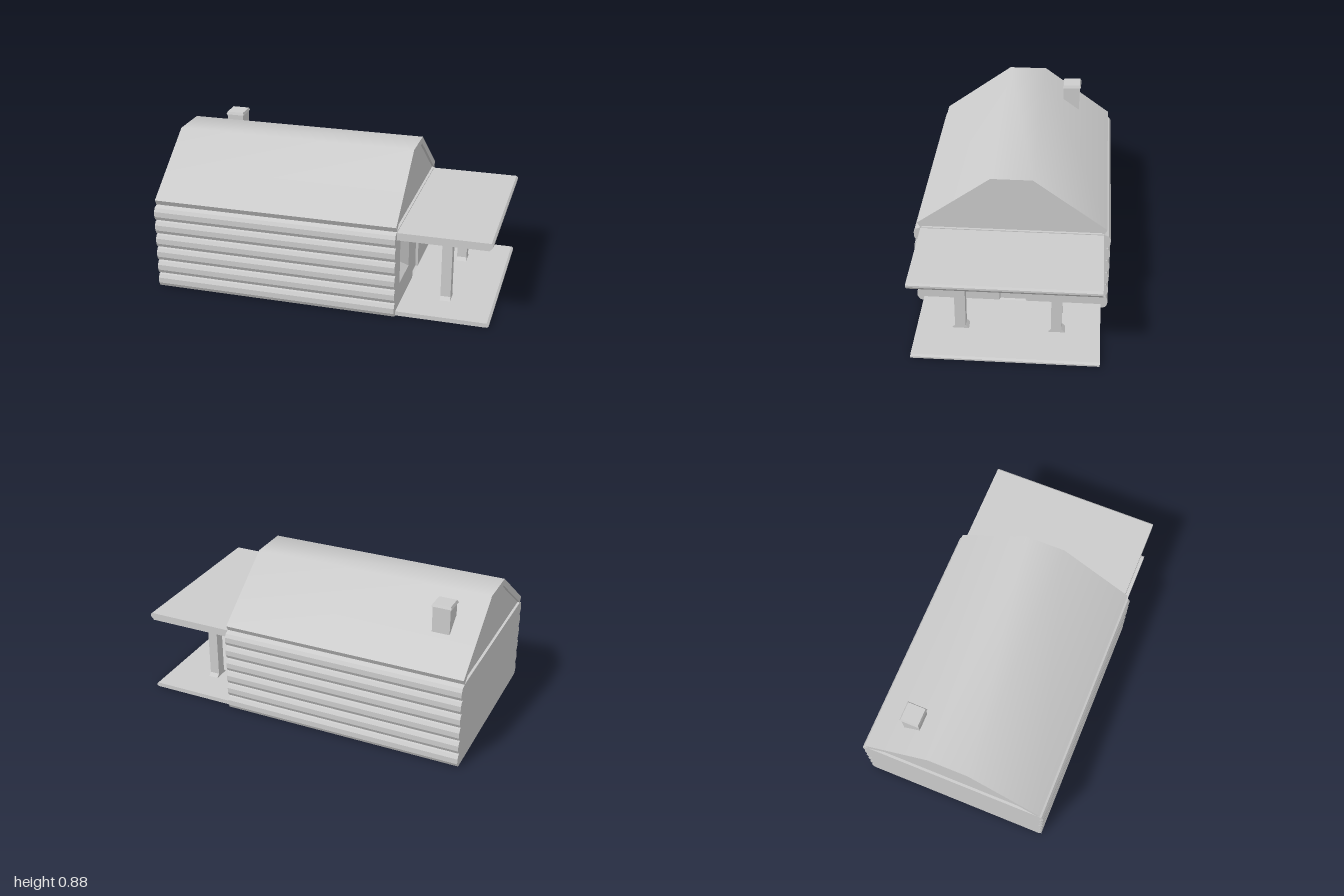
import * as THREE from 'three';
import { toCreasedNormals } from 'three/addons/utils/BufferGeometryUtils.js';

const material = new THREE.MeshStandardMaterial({ color: 0xcccccc, side: THREE.DoubleSide });

function add(parent, name, geometry) {
  const mesh = new THREE.Mesh(geometry, material);
  mesh.name = name;
  parent.add(mesh);
  return mesh;
}

const toPoints = (list) => list.map(([a, b]) => new THREE.Vector2(a, b));

function extrude(outline, depth, holes = []) {
  const shape = new THREE.Shape(toPoints(outline));
  for (const h of holes) shape.holes.push(new THREE.Path(toPoints(h)));
  return new THREE.ExtrudeGeometry(shape, { depth, bevelEnabled: false });
}

// Extrude a [z, y] outline along x, from x0 to x1
function extrudeX(outline, x0, x1, holes = []) {
  const flip = (list) => list.map(([z, y]) => [-z, y]);
  return extrude(flip(outline), x1 - x0, holes.map(flip)).rotateY(Math.PI / 2).translate(x0, 0, 0);
}

// Corners of a rectangle
const rect = (a0, a1, b0, b1) => [[a0, b0], [a1, b0], [a1, b1], [a0, b1]];

// Four sloping sides between two [z, y] rectangles at different x
function reveal(outer, inner, x0, x1) {
  const pos = [];
  for (let i = 0; i < 4; i++) {
    const j = (i + 1) % 4;
    const a = [x0, outer[i][1], outer[i][0]], b = [x0, outer[j][1], outer[j][0]];
    const c = [x1, inner[j][1], inner[j][0]], d = [x1, inner[i][1], inner[i][0]];
    pos.push(...a, ...b, ...c, ...a, ...c, ...d);
  }
  const g = new THREE.BufferGeometry();
  g.setAttribute('position', new THREE.Float32BufferAttribute(pos, 3));
  g.computeVertexNormals();
  return g;
}

// Side wall made of stacked half-round logs, flat on the inside
function logWall(side) {
  const count = 6, pitch = 0.0865, top = 0.523;
  const outline = [[0.53 * side, 0.53], [0.545 * side, top]];
  const bulge = [[0.558, 0.005], [0.57, 0.026], [0.57, 0.058], [0.558, 0.08], [0.543, pitch]];
  for (let i = 0; i < count; i++) {
    for (const [z, drop] of bulge) outline.push([z * side, top - i * pitch - drop]);
  }
  outline.push([0.53 * side, 0.004]);
  return extrudeX(outline, -1, 0.46);
}

function createWindow(z, outer) {
  const group = new THREE.Group();
  group.name = 'window';
  const inner = rect(z - 0.08, z + 0.08, 0.205, 0.385);
  const panes = [];
  for (const dz of [-0.041, 0.041]) {
    for (const y of [0.249, 0.337]) panes.push(rect(z + dz - 0.026, z + dz + 0.026, y - 0.034, y + 0.034));
  }
  add(group, 'windowReveal', reveal(outer, inner, 0.46, 0.41));
  add(group, 'windowSash', extrudeX(inner, 0.4, 0.41, panes));
  add(group, 'windowGlass', extrudeX(inner, 0.398, 0.402));
  return group;
}

export function createModel() {
  const model = new THREE.Group();
  model.name = 'logCabin';

  // Log side walls
  add(model, 'leftLogWall', logWall(1));
  add(model, 'rightLogWall', logWall(-1));

  // End walls, one with window and door openings
  const wall = rect(-0.53, 0.53, 0.005, 0.53);
  const openings = [0.3135, -0.325].map((z) => ({ z, outline: rect(z - 0.12, z + 0.12, 0.165, 0.425) }));
  const doorway = rect(-0.085, 0.075, 0.03, 0.325);
  add(model, 'rearWall', extrudeX(wall, -1, -0.98));
  add(model, 'entranceWall', extrudeX(wall, 0.44, 0.46, [...openings.map((o) => o.outline), doorway]));
  for (const o of openings) model.add(createWindow(o.z, o.outline));

  // Door set slightly into the wall
  const doorPanel = rect(-0.081, 0.071, 0.033, 0.321);
  add(model, 'doorFrame', reveal(doorway, doorPanel, 0.46, 0.445));
  add(model, 'door', extrudeX(doorPanel, 0.44, 0.445));

  // Roof shell, softly shaded over the flat ridge
  const roof = extrudeX([
    [0.53, 0.53], [0.548, 0.562], [0.12, 0.874], [-0.12, 0.874], [-0.548, 0.562],
    [-0.53, 0.53], [-0.11, 0.835], [0.11, 0.835],
  ], -1, 0.46);
  add(model, 'roof', toCreasedNormals(roof, 0.7));

  // Gables set back under the roof ends
  const gable = [[0.53, 0.53], [0.11, 0.835], [-0.11, 0.835], [-0.53, 0.53]];
  add(model, 'rearGable', extrudeX(gable, -0.985, -0.98));
  add(model, 'entranceGable', extrudeX(gable, 0.44, 0.445));

  // Chimney with a chamfered cap
  const chimney = new THREE.Group();
  chimney.name = 'chimney';
  add(chimney, 'chimneyStack', extrudeX([[-0.247, 0.76], [-0.35, 0.685], [-0.354, 0.862], [-0.246, 0.866]], -0.842, -0.738));
  const cap = new THREE.CylinderGeometry(0.074, 0.084, 0.016, 4).toNonIndexed();
  cap.computeVertexNormals();
  cap.rotateY(Math.PI / 4);
  const capMesh = add(chimney, 'chimneyCap', cap);
  capMesh.position.set(-0.79, 0.871, -0.301);
  capMesh.rotation.x = 0.04;
  model.add(chimney);

  // Porch floor with sockets beneath the posts
  const postZ = [0.277, -0.277];
  const sockets = postZ.map((z) => rect(0.685, 0.735, -z - 0.026, -z + 0.026));
  const floor = extrude(rect(0.46, 0.988, -0.53, 0.53), 0.026, sockets);
  add(model, 'porchFloor', floor.rotateX(-Math.PI / 2).translate(0, 0.004, 0));
  add(model, 'porchFloorEdge', extrude([[0.988, 0.004], [1, 0.011], [1, 0.021], [0.988, 0.03]], 1.06).translate(0, 0, -0.53));

  // Porch roof slab, undercut along its outer edge
  const canopy = [[0.445, 0.48], [0.98, 0.48], [1, 0.503], [1, 0.515], [0.99, 0.525], [0.445, 0.525]];
  add(model, 'porchRoof', extrude(canopy, 1.06).translate(0, 0, -0.53));

  // Hollow porch posts with flared feet
  for (const z of postZ) {
    const post = new THREE.Group();
    post.name = 'porchPost';
    const ring = (y, half) => [[0.68, z - half, y], [0.74, z - half, y], [0.74, z + half, y], [0.68, z + half, y]];
    const rings = [ring(0.03, 0.05), ring(0.05, 0.031), ring(0.485, 0.031)];
    const pos = [];
    for (let r = 0; r < 2; r++) {
      for (let i = 0; i < 4; i++) {
        const j = (i + 1) % 4;
        const [a, b, c, d] = [rings[r][i], rings[r + 1][i], rings[r + 1][j], rings[r][j]].map(([x, pz, y]) => [x, y, pz]);
        pos.push(...a, ...b, ...c, ...a, ...c, ...d);
      }
    }
    const g = new THREE.BufferGeometry();
    g.setAttribute('position', new THREE.Float32BufferAttribute(pos, 3));
    g.computeVertexNormals();
    add(post, 'postShaft', g);
    model.add(post);
  }

  return model;
}
